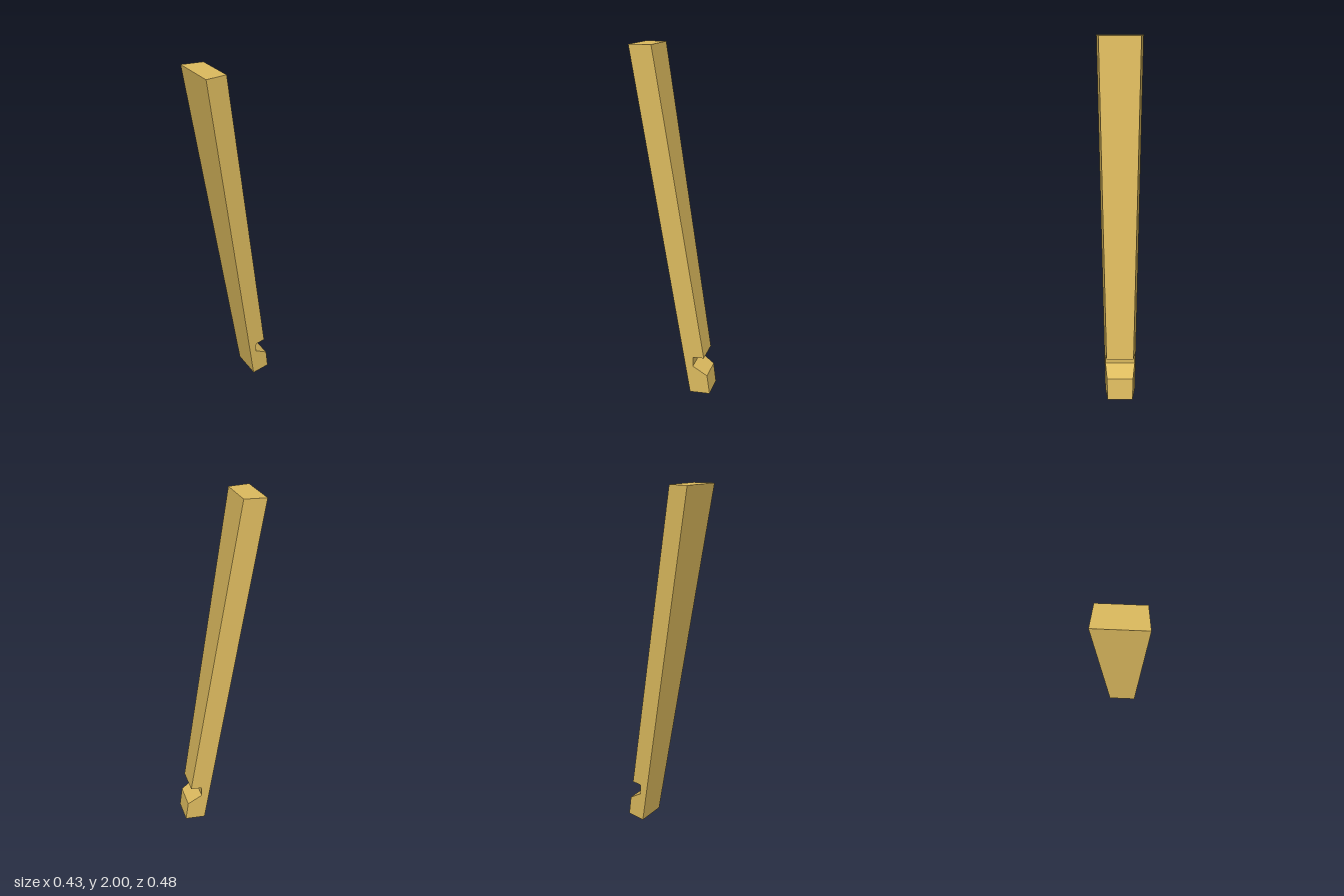
import * as THREE from 'three';

// Side profile of the leg: [depth toward the leg's face, height]
const PROFILE = [
  [0.195, 2], [0.078, 2],
  [-0.214, 0.235], [-0.151, 0.235], [-0.151, 0.175], // notch
  [-0.235, 0.12], [-0.252, 0], [-0.136, 0],          // foot
];

// Horizontal axes of the turned leg
const FACING = new THREE.Vector2(-0.607, 0.795);
const ACROSS = new THREE.Vector2(0.795, 0.607);

export function createModel() {
  const group = new THREE.Group();
  group.name = 'slantedLeg';

  const shape = new THREE.Shape(PROFILE.map(([s, y]) => new THREE.Vector2(s, y)));
  const geometry = new THREE.ExtrudeGeometry(shape, { depth: 2, bevelEnabled: false });
  geometry.translate(0, 0, -1);

  // Narrow the leg toward its back and turn it about the vertical
  const pos = geometry.attributes.position;
  for (let i = 0; i < pos.count; i++) {
    const depth = pos.getX(i);
    const halfWidth = 0.1047 + 0.1317 * depth;
    const across = 0.0065 - pos.getZ(i) * halfWidth;
    pos.setX(i, FACING.x * depth + ACROSS.x * across);
    pos.setZ(i, FACING.y * depth + ACROSS.y * across);
  }
  geometry.computeVertexNormals();

  const material = new THREE.MeshStandardMaterial({ color: 0xdcba5e, flatShading: true });
  const leg = new THREE.Mesh(geometry, material);
  leg.name = 'notchedLeg';
  group.add(leg);
  return group;
}
